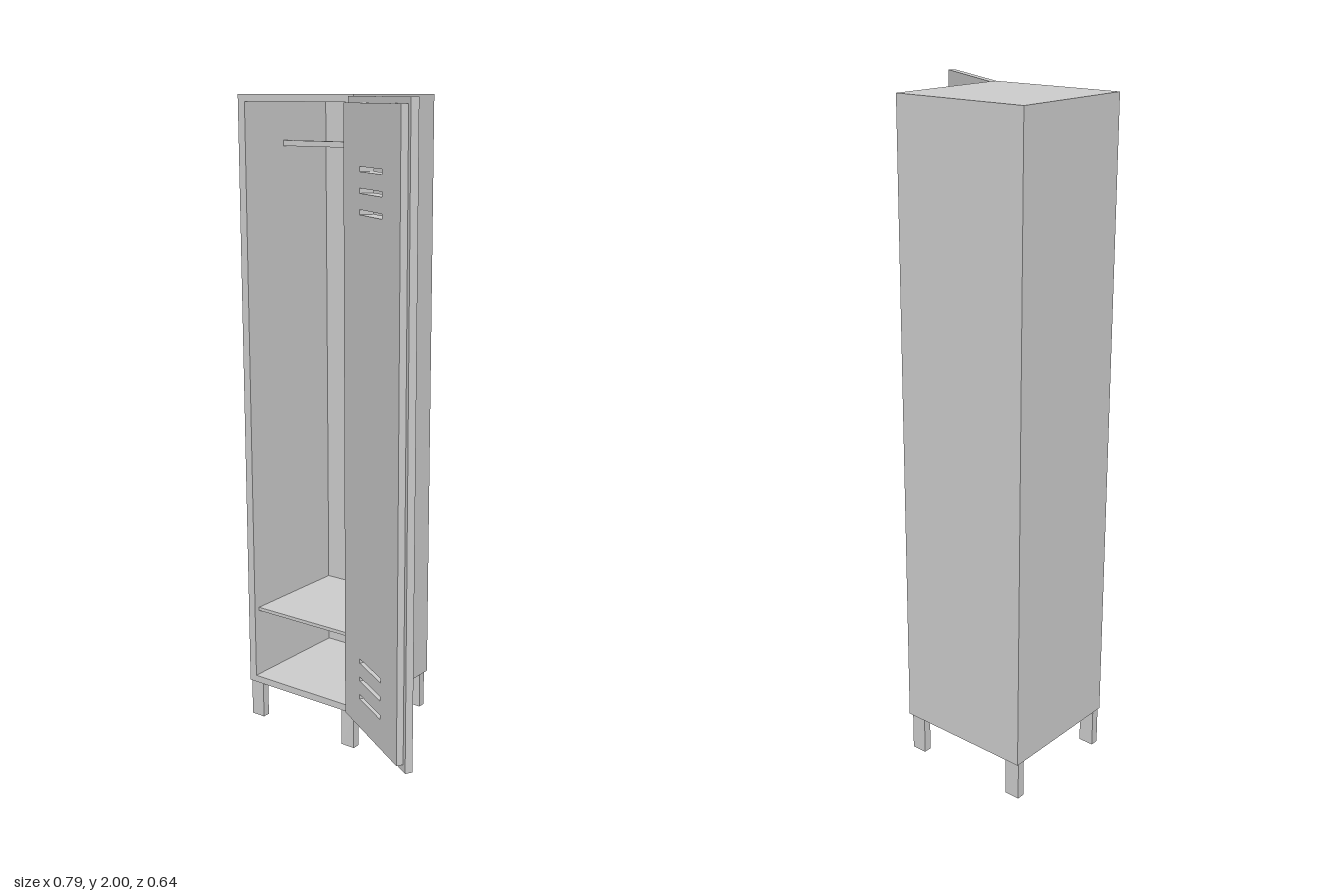
import * as THREE from 'three';

const material = new THREE.MeshStandardMaterial({ color: 0xcccccc });

function add(parent, name, geometry) {
  const mesh = new THREE.Mesh(geometry, material);
  mesh.name = name;
  parent.add(mesh);
  return mesh;
}

// Box given by its limits on each axis
function box(parent, name, [x0, x1], [y0, y1], [z0, z1]) {
  const mesh = add(parent, name, new THREE.BoxGeometry(x1 - x0, y1 - y0, z1 - z0));
  mesh.position.set((x0 + x1) / 2, (y0 + y1) / 2, (z0 + z1) / 2);
  return mesh;
}

function rectangle(path, x0, x1, y0, y1) {
  path.moveTo(x0, y0);
  path.lineTo(x1, y0);
  path.lineTo(x1, y1);
  path.lineTo(x0, y1);
  path.closePath();
  return path;
}

const slotHeights = [0.245, 0.303, 0.361, 1.687, 1.745, 1.803];
const slotLeft = 0.127, slotRight = 0.277, slotHalf = 0.007;

// Flat door layer pierced by the vent slots
function doorLayer(x0, x1, y0, y1, depth) {
  const shape = rectangle(new THREE.Shape(), x0, x1, y0, y1);
  for (const y of slotHeights) {
    shape.holes.push(rectangle(new THREE.Path(), slotLeft, slotRight, y - slotHalf, y + slotHalf));
  }
  return new THREE.ExtrudeGeometry(shape, { depth, bevelEnabled: false });
}

function buildCabinet() {
  const cabinet = new THREE.Group();
  cabinet.name = 'cabinet';
  const back = -0.321, front = 0.085;

  // Shell: one frame section run through the depth, closed by a back panel
  const frame = rectangle(new THREE.Shape(), -0.395, 0.035, 0.12, 2);
  frame.holes.push(rectangle(new THREE.Path(), -0.369, 0.006, 0.142, 1.979));
  const shell = add(cabinet, 'shell',
    new THREE.ExtrudeGeometry(frame, { depth: front - back, bevelEnabled: false }));
  shell.position.z = back;
  box(cabinet, 'backPanel', [-0.369, 0.006], [0.142, 1.979], [back, -0.305]);

  // Interior fittings
  box(cabinet, 'shelf', [-0.369, 0.006], [0.364, 0.375], [-0.305, 0.065]);
  box(cabinet, 'hangingRail', [-0.369, 0.006], [1.845, 1.862], [-0.112, -0.092]);

  // Legs
  for (const x of [-0.391, -0.019]) {
    for (const z of [-0.312, 0.056]) {
      box(cabinet, 'leg', [x, x + 0.048], [0, 0.12], [z, z + 0.025]);
    }
  }
  return cabinet;
}

function buildDoor() {
  const door = new THREE.Group();
  door.name = 'door';

  // Outer sheet and smaller inner panel
  add(door, 'doorSheet', doorLayer(0, 0.405, 0.123, 1.995, 0.023));
  add(door, 'doorInnerPanel', doorLayer(0.015, 0.391, 0.145, 1.978, 0.021)).position.z = 0.023;

  // Sloping vent hoods above the slots on the outer face
  const profile = new THREE.Shape([[0, 0], [0.011, 0], [0.009, 0.012], [0, 0.024]]
    .map(([x, y]) => new THREE.Vector2(x, y)));
  const hood = new THREE.ExtrudeGeometry(profile, { depth: slotRight - slotLeft, bevelEnabled: false });
  hood.rotateY(Math.PI / 2);
  hood.rotateY(0);
  for (const y of slotHeights) {
    const mesh = add(door, 'ventHood', hood);
    mesh.position.set(slotLeft, y + slotHalf - 0.002, 0);
  }

  // Lock disc with a small raised core
  for (const [name, radius, depth] of [['lockDisc', 0.017, 0.004], ['lockCore', 0.007, 0.006]]) {
    const disc = new THREE.CylinderGeometry(radius, radius, depth, 24);
    disc.rotateX(Math.PI / 2);
    add(door, name, disc).position.set(0.37, 1.06, -depth / 2);
  }

  // Swung open by 120 degrees
  door.position.set(0.043, 0, 0.085);
  door.rotation.y = -Math.PI / 6;
  return door;
}

function buildHinge(y) {
  const hinge = new THREE.Group();
  hinge.name = 'hinge';
  add(hinge, 'hingeBarrel', new THREE.CylinderGeometry(0.006, 0.006, 0.13, 16)).position.set(0.028, y, 0.092);
  const leaf = add(hinge, 'hingeLeaf', new THREE.BoxGeometry(0.014, 0.13, 0.003));
  leaf.position.set(0.034, y, 0.098);
  leaf.rotation.y = -Math.PI / 6;
  return hinge;
}

export function createModel() {
  const locker = new THREE.Group();
  locker.name = 'locker';
  locker.add(buildCabinet(), buildDoor(), buildHinge(0.485), buildHinge(1.565));
  return locker;
}
